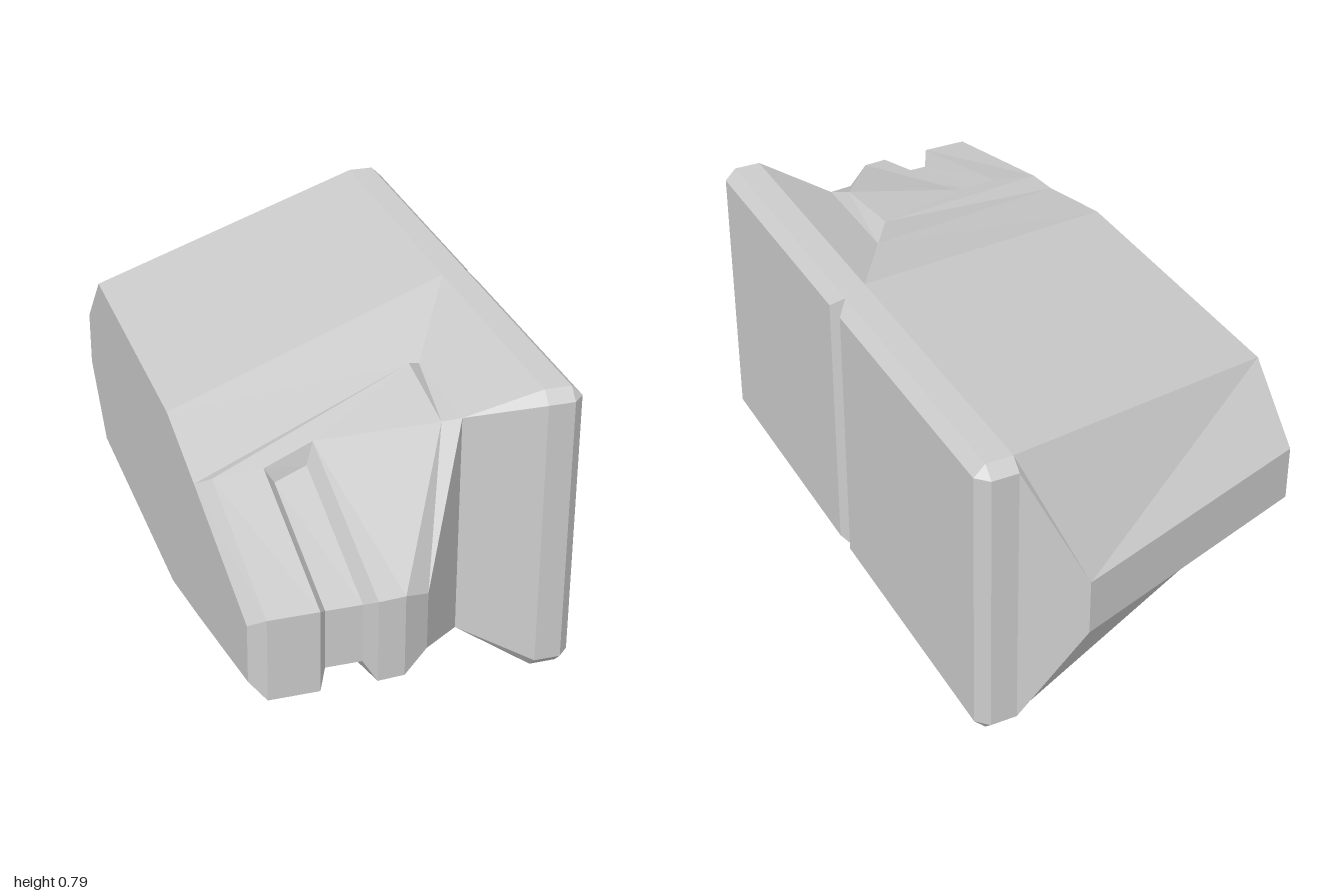
import * as THREE from 'three';

const MID = 0.395; // height of the horizontal mirror plane

// Corners as [x, height above mid plane, z]
const P = {
  // main body
  L1: [-0.465, 0.247, -0.6], L2: [-0.465, 0.247, 0.22], R2: [0.365, 0.395, -0.06],
  S1: [-0.465, 0.187, 0.49], S2: [0.19, 0.302, 0.25], W: [0.19, 0.302, 0.565],
  T: [0.23, 0.075, -1], Lb: [-0.465, 0.075, -0.77], M: [-0.465, 0.075, 0.96],
  // raised front block
  A: [-0.43, 0.217, 0.53], B: [0.145, 0.332, 0.3], B2: [0.14, 0.295, 0.555],
  C: [-0.43, 0.107, 1], D: [-0.1, 0.107, 0.995], E: [-0.03, 0.075, 0.95],
  // slot cut around the block: rim and floor
  rimA: [-0.305, 0.23, 0.54], rimB: [-0.167, 0.257, 0.49],
  rimC: [-0.305, 0.107, 1], rimD: [-0.167, 0.107, 1],
  floorA: [-0.28, 0.19, 0.545], floorB: [-0.19, 0.207, 0.515],
  floorC: [-0.28, 0.077, 0.955], floorD: [-0.19, 0.077, 0.955],
  // side plate
  F: [0.365, 0.395, 0.65], F2: [0.365, 0.365, 0.68],
  G: [0.365, 0.395, -0.87], G2: [0.365, 0.365, -0.9],
  N1: [0.435, 0.365, 0.68], N2: [0.435, 0.365, -0.9],
  Q1: [0.435, 0.395, 0.65], Q2: [0.435, 0.395, -0.87],
  P1: [0.465, 0.365, 0.65], P2: [0.465, 0.365, -0.068],
  P3: [0.465, 0.365, -0.132], P4: [0.465, 0.365, -0.87],
  V: [0.435, 0.395, -0.1],
};

// Build a shell from upper faces and upright walls, mirrored below the mid plane
function shell(name, faces, walls, extra = []) {
  const pos = [];
  const tri = (a, b, c) => {
    for (const p of [a, b, c]) pos.push(p[0], MID + p[1], p[2]);
    for (const p of [c, b, a]) pos.push(p[0], MID - p[1], p[2]);
  };
  const fan = (pts) => {
    for (let i = 1; i < pts.length - 1; i++) tri(pts[0], pts[i], pts[i + 1]);
  };
  const flat = (p) => [p[0], 0, p[2]];
  faces.forEach((f) => fan(f.split(' ').map((k) => P[k])));
  walls.forEach((strip) => {
    const pts = strip.split(' ').map((k) => P[k]);
    for (let i = 0; i < pts.length - 1; i++) {
      fan([pts[i], flat(pts[i]), flat(pts[i + 1]), pts[i + 1]]);
    }
  });
  extra.forEach(fan);
  const geo = new THREE.BufferGeometry();
  geo.setAttribute('position', new THREE.Float32BufferAttribute(pos, 3));
  geo.computeVertexNormals();
  const mesh = new THREE.Mesh(geo, new THREE.MeshStandardMaterial({ color: 0xcccccc, flatShading: true }));
  mesh.name = name;
  return mesh;
}

export function createModel() {
  const group = new THREE.Group();
  group.name = 'wedgeBlock';

  // Tapered body with sloped back and flat right-hand side
  const side = [[-0.465, 0, -0.77], [-0.465, 0, 0.96], P.M, P.S1, P.L2, P.L1, P.Lb];
  group.add(shell('body', [
    'L1 L2 R2 G', 'L2 S1 S2 R2', 'R2 S2 W F', 'W F2 F', 'L1 G T Lb', 'G G2 T',
  ], ['W F2', 'G2 T Lb'], [side]));

  // Raised front block with a slot wrapping over its nose
  group.add(shell('frontBlock', [
    'S1 A B S2', 'S2 B B2 W', 'B2 D E W', 'S1 M C A',
    'A C rimC rimA', 'A rimA rimB B', 'rimB rimD D B2 B',
    'rimA rimC floorC floorA', 'floorA floorC floorD floorB',
    'floorB floorD rimD rimB', 'rimA floorA floorB rimB',
  ], ['M C rimC floorC floorD rimD D E W']));

  // Bevelled side plate with a V groove
  group.add(shell('sidePlate', [
    'F Q1 Q2 G', 'F2 N1 Q1 F', 'N1 P1 Q1', 'P1 P2 V Q1',
    'P3 P4 Q2 V', 'P4 N2 Q2', 'N2 G2 G Q2',
  ], ['F2 N1 P1 P2 V P3 P4 N2 G2']));

  return group;
}
